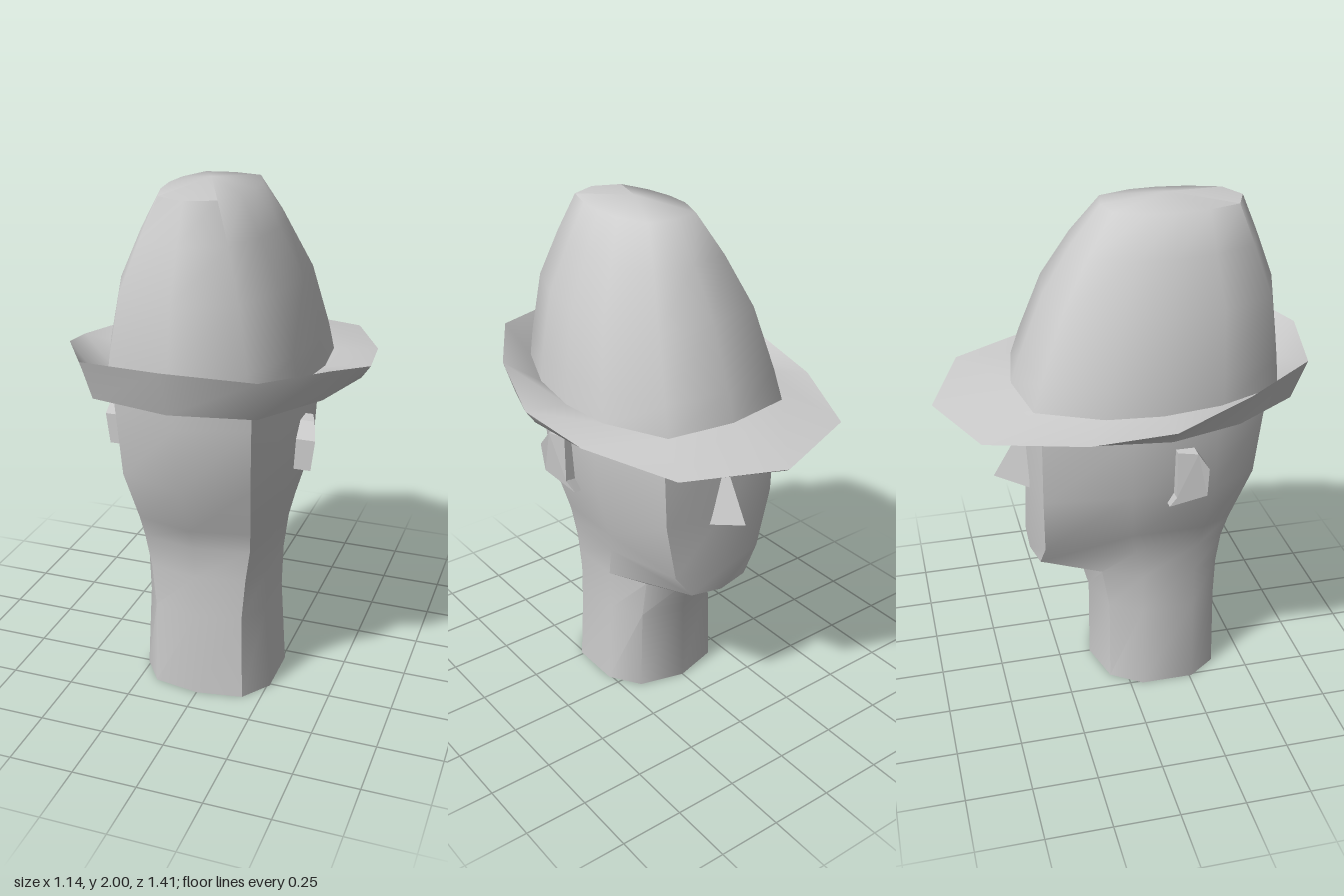
import * as THREE from 'three';
import { toCreasedNormals, mergeVertices } from 'three/addons/utils/BufferGeometryUtils.js';

// Mirror a half ring (back centre -> front centre, x >= 0) into a closed ring
const mirrorRing = (half) => [
  ...half,
  ...half.slice(1, -1).reverse().map(([x, y, z]) => [-x, y, z]),
];

// Skin closed rings; an optional apex closes the last ring
function loft(halves, crease, apex) {
  const rings = halves.map(mirrorRing);
  const n = rings[0].length;
  const pos = rings.flat(2);
  const index = [];
  for (let r = 0; r < rings.length - 1; r++) {
    for (let i = 0; i < n; i++) {
      const a = r * n + i, b = r * n + (i + 1) % n;
      index.push(a, b, b + n, a, b + n, a + n);
    }
  }
  if (apex) {
    const last = (rings.length - 1) * n, top = rings.length * n;
    pos.push(...apex);
    for (let i = 0; i < n; i++) index.push(last + i, last + (i + 1) % n, top);
  }
  const g = new THREE.BufferGeometry();
  g.setAttribute('position', new THREE.Float32BufferAttribute(pos, 3));
  g.setIndex(index);
  return toCreasedNormals(mergeVertices(g), crease);
}

// Flat-faced solid from points and triangles
function facets(points, faces) {
  const g = new THREE.BufferGeometry();
  g.setAttribute('position', new THREE.Float32BufferAttribute(faces.flatMap((i) => points[i]), 3));
  g.computeVertexNormals();
  return g;
}

export function createModel() {
  const group = new THREE.Group();
  const grey = new THREE.MeshStandardMaterial({ color: 0xcccccc, side: THREE.DoubleSide });
  grey.name = 'plain grey';
  const add = (name, geometry) => {
    const mesh = new THREE.Mesh(geometry, grey);
    mesh.name = name;
    group.add(mesh);
    return mesh;
  };

  // Head and neck, open at the bottom; the face looks towards -z
  // y, back z, back corner x/z, side x, side z's, face corner x/y/z, face centre y/z
  const headRows = [
    [0.00, 0.40, 0.18, 0.37, 0.26, 0.26, 0.05, 0.18, 0.00, -0.07, 0.00, -0.12],
    [0.35, 0.40, 0.175, 0.365, 0.24, 0.26, 0.05, 0.17, 0.35, -0.07, 0.35, -0.12],
    [0.52, 0.40, 0.19, 0.365, 0.245, 0.26, 0.05, 0.17, 0.52, -0.10, 0.50, -0.16],
    [0.65, 0.41, 0.21, 0.375, 0.255, 0.27, 0.02, 0.13, 0.58, -0.34, 0.57, -0.36],
    [0.74, 0.45, 0.22, 0.40, 0.275, 0.28, 0.00, 0.20, 0.68, -0.33, 0.67, -0.375],
    [0.95, 0.56, 0.245, 0.48, 0.335, 0.30, -0.02, 0.25, 0.92, -0.34, 0.92, -0.365],
    [1.20, 0.59, 0.255, 0.505, 0.35, 0.30, -0.02, 0.26, 1.20, -0.34, 1.20, -0.365],
    [1.31, 0.60, 0.26, 0.515, 0.35, 0.30, -0.02, 0.26, 1.31, -0.33, 1.31, -0.36],
  ];
  add('headAndNeck', loft(headRows.map(([y, zb, xc, zc, xs, z1, z2, xf, yf, zf, ym, zm]) => [
    [0, y, zb], [xc, y, zc], [xs, y, z1], [xs, y, z2], [xf, yf, zf], [0, ym, zm],
  ]), 0.75));

  // Nose: wedge with a sharp ridge
  add('nose', facets(
    [[0, 1.15, -0.355], [0.065, 0.88, -0.35], [-0.065, 0.88, -0.35], [0, 0.92, -0.49]],
    [0, 1, 3, 0, 3, 2, 1, 2, 3],
  ));

  // Ears: small slanted plates, mirrored
  const earOutline = [[1.14, 0.21, 0.40], [1.14, 0.14, 0.375], [0.95, 0.14, 0.375], [0.90, 0.12, 0.35], [0.96, 0.25, 0.40], [1.08, 0.25, 0.415]];
  for (const [name, s] of [['leftEar', 1], ['rightEar', -1]]) {
    const n = earOutline.length;
    const points = [
      ...earOutline.map(([y, z, x]) => [s * x, y, z]),
      ...earOutline.map(([y, z]) => [s * 0.32, y, z]),
    ];
    const faces = [];
    for (let i = 0; i < n; i++) {
      const j = (i + 1) % n;
      faces.push(i, i + n, j + n, i, j + n, j);
      if (i > 0 && i < n - 1) faces.push(0, i, j);
    }
    if (s > 0) {
      for (let k = 0; k < faces.length; k += 3) [faces[k + 1], faces[k + 2]] = [faces[k + 2], faces[k + 1]];
    }
    // Outline runs clockwise seen from +x after the swap, so swap every face once more
    for (let k = 0; k < faces.length; k += 3) [faces[k + 1], faces[k + 2]] = [faces[k + 2], faces[k + 1]];
    add(name, facets(points, faces));
  }

  // Hat crown: one outline, narrowed ring by ring
  const crownBase = [[0, 0.64], [0.265, 0.55], [0.365, 0.31], [0.4, 0.08], [0.38, -0.13], [0.265, -0.37], [0, -0.41]];
  const crownRing = (y, w, back, front) => crownBase.map(([x, z]) => [
    x * w / 0.4, y, front + (z + 0.41) / 1.05 * (back - front),
  ]);
  add('hatCrown', loft([
    crownRing(1.30, 0.40, 0.64, -0.41),
    crownRing(1.42, 0.38, 0.63, -0.37),
    crownRing(1.65, 0.325, 0.60, -0.28),
    crownRing(1.83, 0.24, 0.53, -0.17),
    crownRing(1.97, 0.16, 0.47, -0.06),
  ], 1.0, [0, 2.0, 0.19]));

  // Hat brim: rises at the back, dips over the face
  const brimEdge = [
    [0, 1.45, 0.705], [0.32, 1.43, 0.64], [0.49, 1.40, 0.37], [0.57, 1.33, 0.08],
    [0.53, 1.295, -0.22], [0.375, 1.265, -0.57], [0, 1.25, -0.705],
  ];
  const inner = (y, k) => crownBase.map(([x, z]) => [x * k, y, 0.1 + (z - 0.1) * k]);
  add('hatBrim', loft([
    inner(1.28, 0.85),
    brimEdge.map(([x, y, z]) => [x * 0.94, Math.min(1.28, y - 0.01), z * (z > 0 ? 0.92 : 0.98)]),
    brimEdge,
    inner(1.31, 0.99),
  ], 0.8));

  return group;
}
